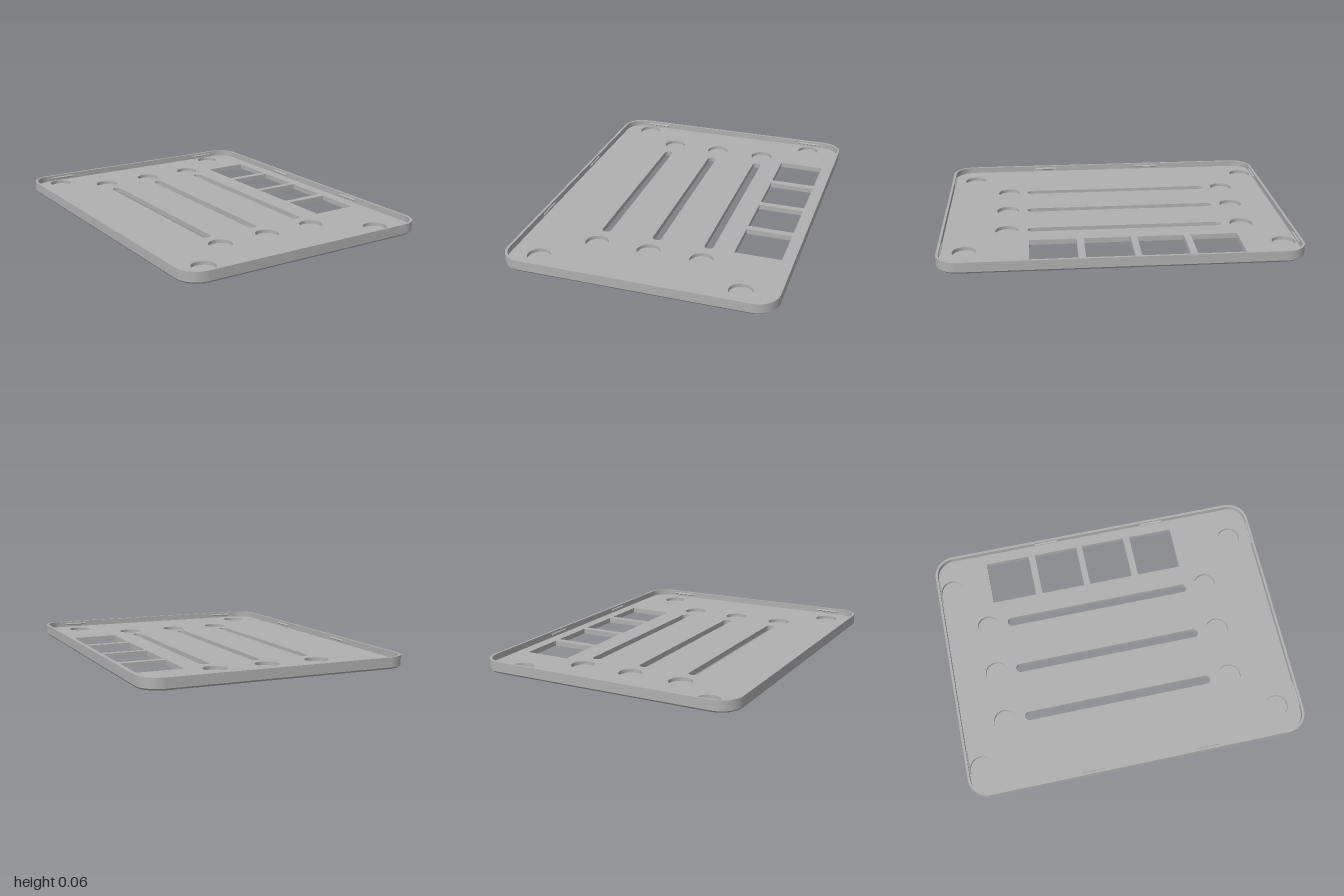
import * as THREE from 'three';
import { toCreasedNormals } from 'three/addons/utils/BufferGeometryUtils.js';

const W = 0.763, L = 1, RADIUS = 0.12;   // half width, half length, corner radius
const WALL = 0.014, HEIGHT = 0.065;
const BASE = 0.01, FLOOR = 0.03, BEVEL = 0.008;

// Rounded rectangle in plan (x, z)
function roundedRect(cx, cz, w, l, r, Type = THREE.Shape) {
  const s = new Type();
  s.absarc(cx + w - r, cz + l - r, r, 0, Math.PI / 2);
  s.absarc(cx - w + r, cz + l - r, r, Math.PI / 2, Math.PI);
  s.absarc(cx - w + r, cz - l + r, r, Math.PI, Math.PI * 1.5);
  s.absarc(cx + w - r, cz - l + r, r, Math.PI * 1.5, Math.PI * 2);
  s.closePath();
  return s;
}

function rectHole(cx, cz, w, l) {
  return new THREE.Path([[-w, -l], [w, -l], [w, l], [-w, l], [-w, -l]]
    .map(([x, z]) => new THREE.Vector2(cx + x, cz + z)));
}

function circleHole(cx, cz, r) {
  const p = new THREE.Path();
  p.absarc(cx, cz, r, 0, Math.PI * 2);
  return p;
}

// Plan shape extruded between two heights
function slab(shape, bottom, top) {
  return new THREE.ExtrudeGeometry(shape, { depth: top - bottom, bevelEnabled: false, curveSegments: 16 })
    .rotateX(Math.PI / 2).translate(0, top, 0);
}

export function createModel() {
  const group = new THREE.Group();
  const grey = new THREE.MeshStandardMaterial({ color: 0xb0b0b0 });
  grey.name = 'grey plastic';

  const add = (name, geometry) => {
    const mesh = new THREE.Mesh(toCreasedNormals(geometry, 0.5), grey);
    mesh.name = name;
    group.add(mesh);
    return mesh;
  };

  // Openings that go right through: three slider slots and four square windows
  const columns = [-0.34, -0.035, 0.27];
  const through = () => [
    ...columns.map(x => roundedRect(x, -0.05, 0.026, 0.563, 0.0255, THREE.Path)),
    ...[-0.543, -0.237, 0.066, 0.372].map(z => rectHole(0.552, z, 0.133, 0.133)),
  ];

  // Base plate, its lower outline drawn in as a small chamfer
  const baseShape = roundedRect(0, 0, W, L, RADIUS);
  baseShape.holes.push(...through());
  const base = slab(baseShape, 0, BASE);
  const pos = base.attributes.position;
  for (let i = 0; i < pos.count; i++) {
    const x = pos.getX(i), z = pos.getZ(i);
    if (pos.getY(i) < BASE / 2 && Math.abs(z) > 0.8) {
      pos.setX(i, x * (1 - BEVEL / W));
      pos.setZ(i, z * (1 - BEVEL / L));
    }
  }
  add('basePlate', base);

  // Upper floor, also pierced by the round pockets
  const floorShape = roundedRect(0, 0, W - WALL, L - WALL, RADIUS - WALL);
  floorShape.holes.push(...through());
  for (const x of columns) for (const z of [-0.733, 0.632]) floorShape.holes.push(circleHole(x, z, 0.066));
  for (const x of [-0.587, 0.55]) for (const z of [-0.913, 0.857]) floorShape.holes.push(circleHole(x, z, 0.066));
  add('floorWithPockets', slab(floorShape, BASE, FLOOR));

  // Surrounding wall
  const rimShape = roundedRect(0, 0, W, L, RADIUS);
  rimShape.holes.push(roundedRect(0, 0, W - WALL, L - WALL, RADIUS - WALL, THREE.Path));
  add('rim', slab(rimShape, BASE, HEIGHT));

  // Small snap ridges on the inside of the wall
  const ridge = (name, x, z, turn) => {
    const profile = new THREE.Shape([[-0.004, 0.038], [0.007, 0.045], [0.007, 0.049], [-0.004, 0.056]]
      .map(([a, b]) => new THREE.Vector2(a, b)));
    const mesh = add(name, new THREE.ExtrudeGeometry(profile, { depth: 0.14, bevelEnabled: false })
      .translate(0, 0, -0.07));
    mesh.position.set(x, 0, z);
    mesh.rotation.y = turn;
  };
  for (const side of [-1, 1]) {
    for (const z of [-0.288, 0.393]) ridge('sideRidge', side * (W - WALL), z, side < 0 ? 0 : Math.PI);
    for (const x of [-0.543, 0.543]) ridge('endRidge', x, side * (L - WALL), side * Math.PI / 2);
  }
  return group;
}
